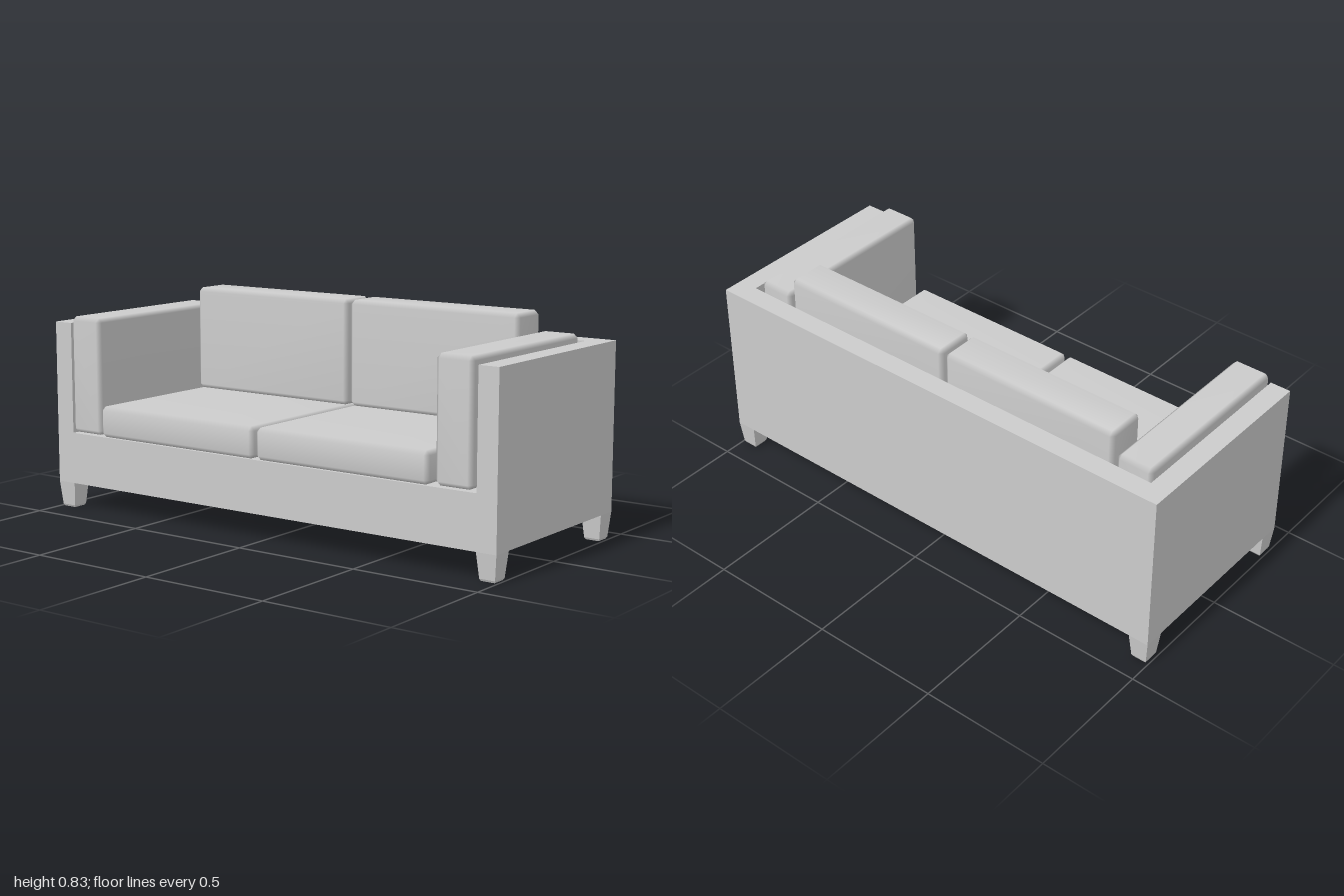
import * as THREE from 'three';
import { ConvexGeometry } from 'three/addons/geometries/ConvexGeometry.js';
import { mergeVertices } from 'three/addons/utils/BufferGeometryUtils.js';

const FRONT = 0.385, BACK = -0.42, INNER_BACK = -0.34;
const BASE = 0.1, FLOOR = 0.3, TOP = 0.73, INNER_X = 0.92;

const fabric = new THREE.MeshStandardMaterial({ color: 0xcccccc });
const shell = new THREE.MeshStandardMaterial({ color: 0xcccccc, side: THREE.DoubleSide });

function addMesh(parent, name, geometry, material) {
  const mesh = new THREE.Mesh(geometry, material);
  mesh.name = name;
  parent.add(mesh);
  return mesh;
}

// Box with every edge cut by a bevel, softly shaded
function cushionGeometry(w, h, d, b = 0.016) {
  const points = [];
  for (const sx of [-1, 1]) for (const sy of [-1, 1]) for (const sz of [-1, 1]) {
    const x = w / 2, y = h / 2, z = d / 2;
    points.push(
      new THREE.Vector3(sx * x, sy * (y - b), sz * (z - b)),
      new THREE.Vector3(sx * (x - b), sy * y, sz * (z - b)),
      new THREE.Vector3(sx * (x - b), sy * (y - b), sz * z));
  }
  let geometry = new ConvexGeometry(points);
  geometry.deleteAttribute('normal');
  geometry = mergeVertices(geometry, 1e-4);
  geometry.computeVertexNormals();
  return geometry;
}

function addCushion(parent, name, [x0, x1], [y0, y1], [z0, z1]) {
  const mesh = addMesh(parent, name, cushionGeometry(x1 - x0, y1 - y0, z1 - z0), fabric);
  mesh.position.set((x0 + x1) / 2, (y0 + y1) / 2, (z0 + z1) / 2);
}

// Tapered square foot with a small bevel at the sole
function legGeometry() {
  const points = [];
  for (const [y, r] of [[0, 0.027], [0.008, 0.031], [BASE, 0.04]]) {
    for (const sx of [-1, 1]) for (const sz of [-1, 1]) {
      points.push(new THREE.Vector3(sx * r, y, sz * r));
    }
  }
  return new ConvexGeometry(points);
}

function flatShape(corners) {
  return new THREE.ShapeGeometry(new THREE.Shape(corners.map(([x, y]) => new THREE.Vector2(x, y))));
}

// Hollow, open-bottomed frame made of thin panels
function createFrame() {
  const frame = new THREE.Group();
  frame.name = 'frame';

  const front = flatShape([[-1, BASE], [1, BASE], [1, TOP], [INNER_X, TOP],
    [INNER_X, FLOOR], [-INNER_X, FLOOR], [-INNER_X, TOP], [-1, TOP]]);
  addMesh(frame, 'frontPanel', front.translate(0, 0, FRONT), shell);

  const rim = flatShape([[-1, -FRONT], [-INNER_X, -FRONT], [-INNER_X, -INNER_BACK],
    [INNER_X, -INNER_BACK], [INNER_X, -FRONT], [1, -FRONT], [1, -BACK], [-1, -BACK]]);
  addMesh(frame, 'topRim', rim.rotateX(-Math.PI / 2).translate(0, TOP, 0), shell);

  const outerBack = new THREE.PlaneGeometry(2, TOP - BASE).rotateY(Math.PI);
  addMesh(frame, 'backPanel', outerBack.translate(0, (TOP + BASE) / 2, BACK), shell);

  const innerBack = new THREE.PlaneGeometry(2 * INNER_X, TOP - FLOOR);
  addMesh(frame, 'innerBackPanel', innerBack.translate(0, (TOP + FLOOR) / 2, INNER_BACK), shell);

  const floor = new THREE.PlaneGeometry(2 * INNER_X, FRONT - INNER_BACK).rotateX(-Math.PI / 2);
  addMesh(frame, 'seatFloor', floor.translate(0, FLOOR, (FRONT + INNER_BACK) / 2), shell);

  for (const [side, s] of [['left', 1], ['right', -1]]) {
    const outer = new THREE.PlaneGeometry(FRONT - BACK, TOP - BASE).rotateY(s * Math.PI / 2);
    addMesh(frame, side + 'OuterPanel',
      outer.translate(s, (TOP + BASE) / 2, (FRONT + BACK) / 2), shell);
    const inner = new THREE.PlaneGeometry(FRONT - INNER_BACK, TOP - FLOOR).rotateY(-s * Math.PI / 2);
    addMesh(frame, side + 'InnerPanel',
      inner.translate(s * INNER_X, (TOP + FLOOR) / 2, (FRONT + INNER_BACK) / 2), shell);
  }
  return frame;
}

export function createModel() {
  const sofa = new THREE.Group();
  sofa.name = 'sofa';
  sofa.add(createFrame());

  for (const [side, s] of [['left', 1], ['right', -1]]) {
    const span = (a, b) => (s > 0 ? [a, b] : [-b, -a]);
    addCushion(sofa, side + 'SeatCushion', span(0.006, 0.746), [0.308, 0.426], [-0.32, 0.418]);
    addCushion(sofa, side + 'BackCushion', span(0.006, 0.746), [0.426, 0.832], [-0.32, -0.162]);
    addCushion(sofa, side + 'ArmCushion', span(0.76, 0.908), [0.308, 0.758], [-0.32, 0.4]);

    for (const [end, z] of [['Front', FRONT - 0.04], ['Back', BACK + 0.04]]) {
      addMesh(sofa, side + end + 'Leg', legGeometry(), fabric).position.set(s * 0.96, 0, z);
    }
  }
  return sofa;
}
